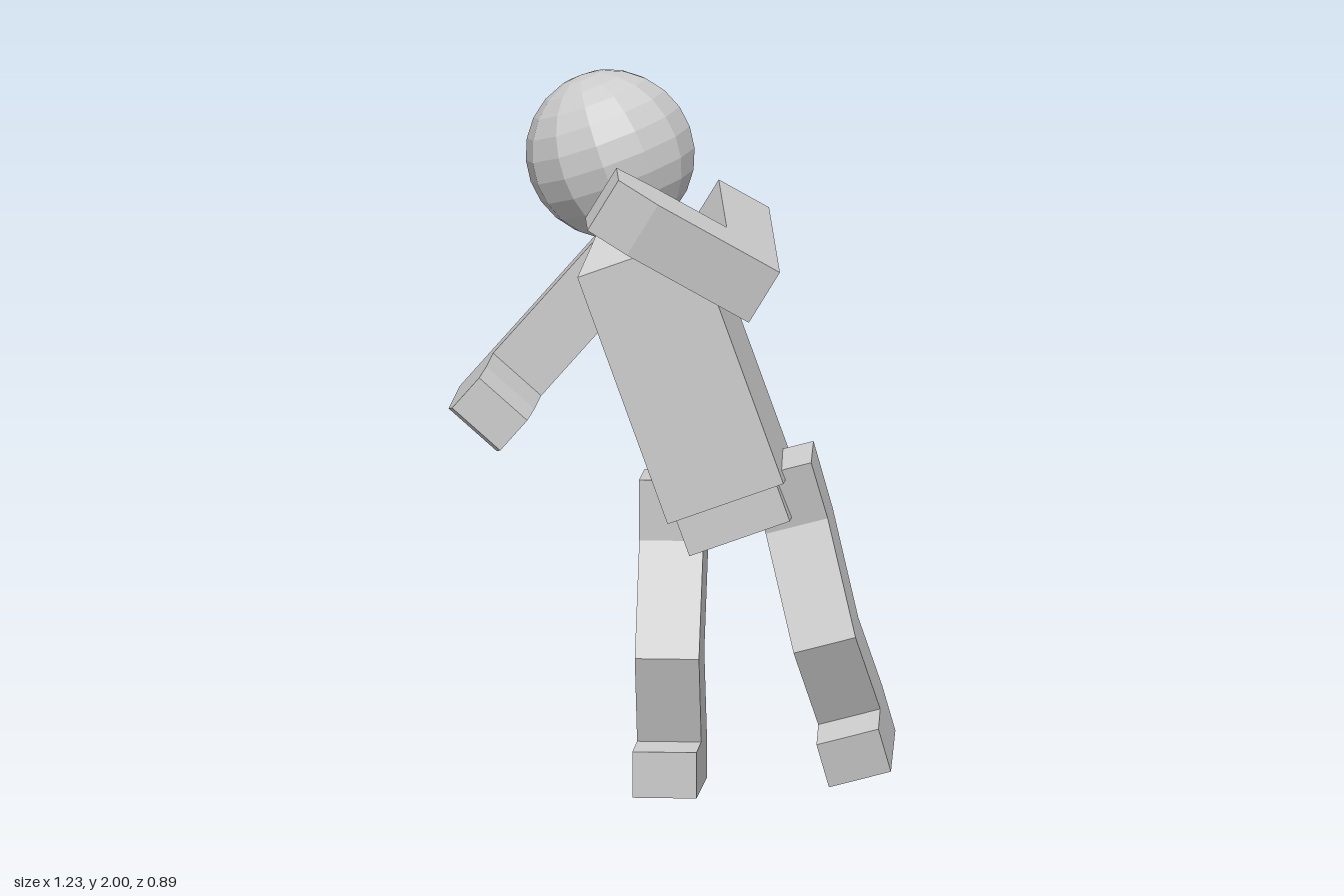
import * as THREE from 'three';

const material = new THREE.MeshStandardMaterial({ color: 0xcccccc, flatShading: true });

function addMesh(parent, name, geometry, x = 0, y = 0, z = 0) {
  const mesh = new THREE.Mesh(geometry, material);
  mesh.name = name;
  mesh.position.set(x, y, z);
  parent.add(mesh);
  return mesh;
}

// Bent limb: a side profile extruded to an even width
function limbGeometry(profile, width) {
  const shape = new THREE.Shape(profile.map(([x, y]) => new THREE.Vector2(x, y)));
  return new THREE.ExtrudeGeometry(shape, { depth: width, bevelEnabled: false });
}

// Arm profile: x runs from elbow to shoulder, y from elbow to hand
const armProfile = [
  [0, 0], [0.6, 0], [0.6, 0.164], [0.16, 0.164],
  [0.16, 0.397], [0.145, 0.524], [0.03, 0.524], [0, 0.397],
];

// Leg profile: x is forward, y is up
const legProfile = [
  [0.155, 0], [0.155, 0.13], [-0.01, 0.133], [0.07, 0.38], [-0.084, 0.69], [-0.078, 0.862],
  [-0.265, 0.862], [-0.256, 0.66], [-0.115, 0.376], [-0.2, 0.136], [-0.2, 0],
];

// Place an arm by its elbow corner and the directions of upper arm and forearm
function addArm(parent, name, elbow, toShoulder, toHand, width) {
  const s = new THREE.Vector3(...toShoulder).normalize();
  const n = new THREE.Vector3().crossVectors(s, new THREE.Vector3(...toHand)).normalize();
  const f = new THREE.Vector3().crossVectors(n, s);
  const geometry = limbGeometry(armProfile, width);
  geometry.applyMatrix4(new THREE.Matrix4().makeBasis(s, f, n));
  return addMesh(parent, name, geometry, ...elbow);
}

function addLeg(parent, name, position, pitch, roll) {
  const geometry = limbGeometry(legProfile, 0.18);
  geometry.translate(0, 0, -0.09).rotateY(-Math.PI / 2);
  const leg = addMesh(parent, name, geometry, ...position);
  leg.rotation.set(pitch, 0, roll, 'ZYX');
  return leg;
}

export function createModel() {
  const model = new THREE.Group();
  model.name = 'posedFigure';
  const deg = THREE.MathUtils.degToRad;

  // Leaning upper body
  const body = new THREE.Group();
  body.name = 'upperBody';
  body.position.set(0.022, 1.157, -0.183);
  body.rotation.z = deg(20);
  model.add(body);
  addMesh(body, 'torso', new THREE.BoxGeometry(0.346, 0.74, 0.36));
  addMesh(body, 'pelvis', new THREE.BoxGeometry(0.3, 0.13, 0.305), 0, -0.414, 0);
  addMesh(body, 'head', new THREE.SphereGeometry(0.2375, 12, 12), 0.006, 0.642, -0.03);

  // Neck: four-sided taper from the shoulders into the head
  const neck = new THREE.CylinderGeometry(0.06 * Math.SQRT2, 0.173 * Math.SQRT2, 0.12, 4);
  neck.rotateY(Math.PI / 4).scale(1, 1, 1.04);
  addMesh(body, 'neck', neck, 0, 0.43, 0);

  // Arms: left one swung across the chest, right one held low
  addArm(model, 'leftArm', [0.243, 1.383, 0.356], [-0.13, 0.145, -0.98], [-0.84, 0.495, 0.21], 0.17);
  addArm(model, 'rightArm', [-0.618, 1.09, -0.277], [0.66, 0.75, 0], [0, 0, 1], 0.18);

  // Legs: left one lifted and splayed, right one planted
  addLeg(model, 'leftLeg', [0.52, 0.063, -0.138], deg(10), deg(15));
  addLeg(model, 'rightLeg', [-0.01, 0, 0], 0, 0);

  return model;
}
